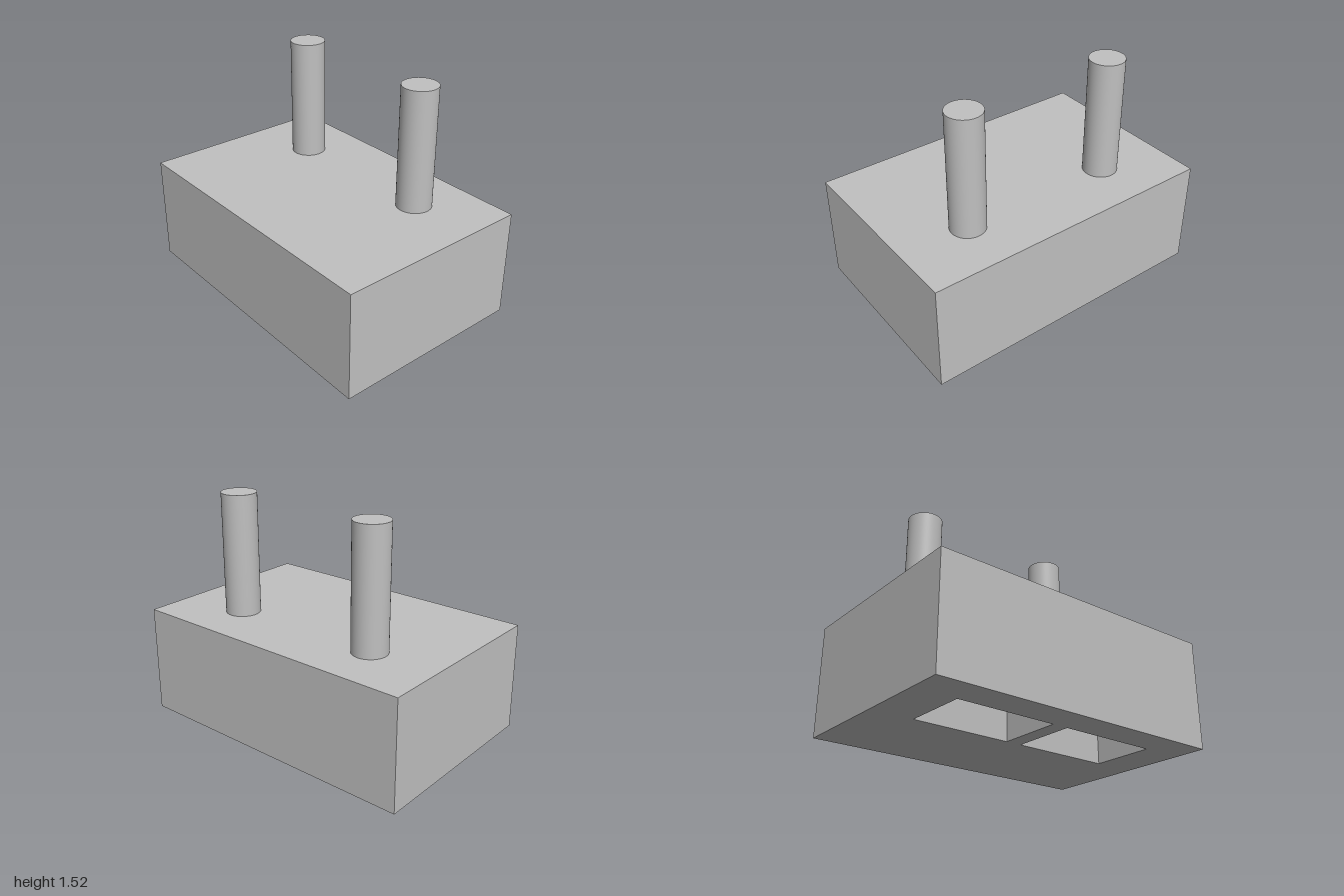
import * as THREE from 'three';

const WIDTH = 2, DEPTH = 1.31, HEIGHT = 0.722;
const POCKET_DEPTH = 0.52;

// Rectangle outline centred on (cx, cy)
function rectangle(target, cx, cy, w, h) {
  target.moveTo(cx - w / 2, cy - h / 2);
  target.lineTo(cx + w / 2, cy - h / 2);
  target.lineTo(cx + w / 2, cy + h / 2);
  target.lineTo(cx - w / 2, cy + h / 2);
  target.closePath();
  return target;
}

export function createModel() {
  const model = new THREE.Group();
  model.name = 'pinnedBlock';
  const grey = new THREE.MeshStandardMaterial({ color: 0xc0c0c0 });
  grey.name = 'light grey';

  const add = (geometry, name, x, y, z) => {
    const mesh = new THREE.Mesh(geometry, grey);
    mesh.name = name;
    mesh.position.set(x, y, z);
    model.add(mesh);
    return mesh;
  };

  // Lower body with two rectangular pockets open underneath
  const outline = rectangle(new THREE.Shape(), 0, 0, WIDTH, DEPTH);
  for (const side of [-1, 1]) {
    outline.holes.push(rectangle(new THREE.Path(), side * 0.387, -0.228, 0.667, 0.424));
  }
  const lower = new THREE.ExtrudeGeometry(outline, { depth: POCKET_DEPTH, bevelEnabled: false });
  lower.rotateX(-Math.PI / 2);
  add(lower, 'pocketedBody', 0, 0, 0);

  // Solid slab closing the pockets
  const slabHeight = HEIGHT - POCKET_DEPTH;
  add(new THREE.BoxGeometry(WIDTH, slabHeight, DEPTH), 'topSlab', 0, POCKET_DEPTH + slabHeight / 2, 0);

  // Two upright round pins
  const pin = new THREE.CylinderGeometry(0.115, 0.115, 0.803, 64);
  for (const side of [-1, 1]) {
    add(pin, side > 0 ? 'leftPin' : 'rightPin', side * 0.528, HEIGHT + 0.4015, -0.28);
  }
  return model;
}
